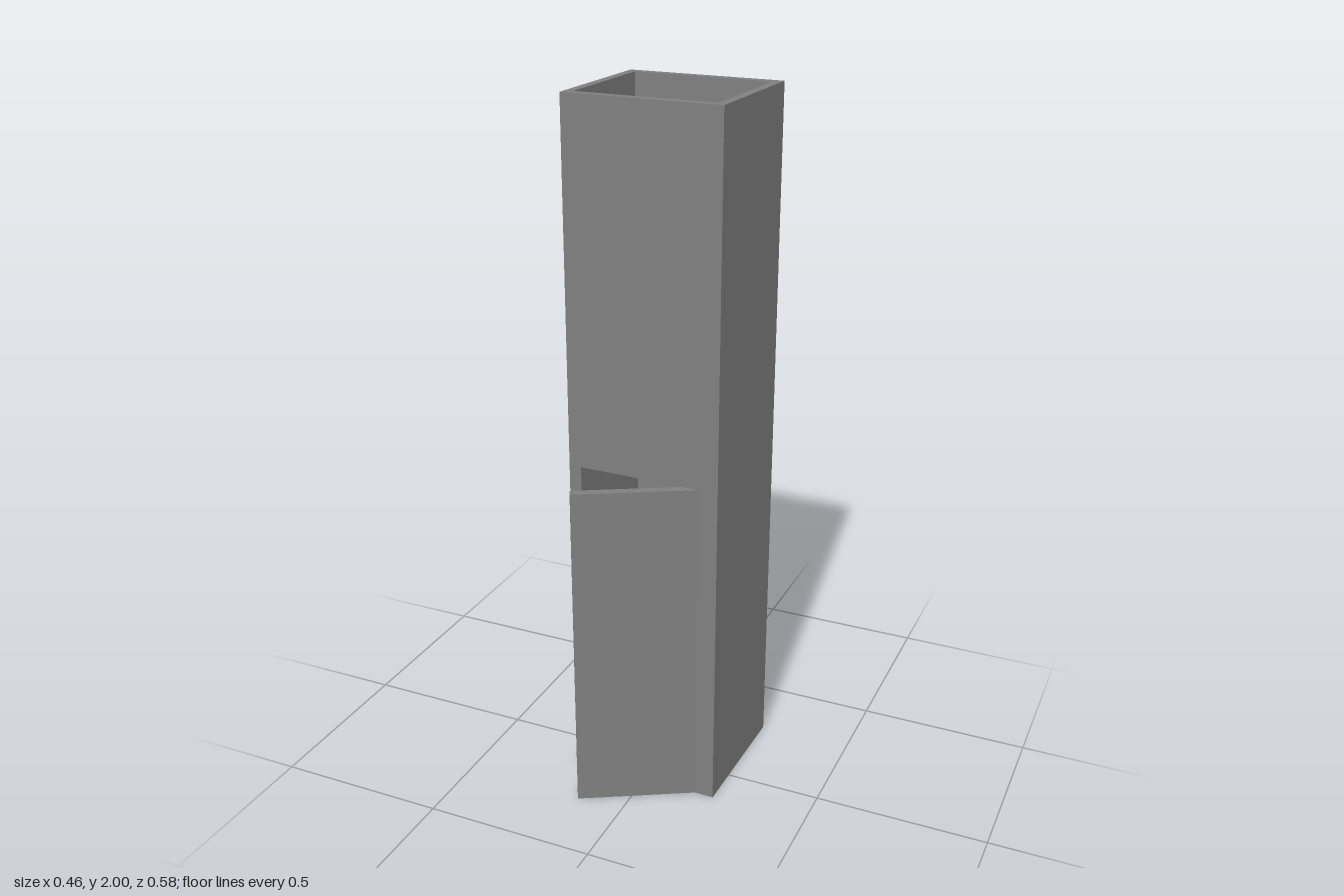
import * as THREE from 'three';

const H = 2, HX = 0.224, HZ = 0.201, T = 0.025; // height, half width, half depth, wall thickness
const DOOR_H = 0.98, DOOR_L = -0.188, DOOR_R = 0.167;

const polygon = (pts) => new THREE.Shape(pts.map(([x, y]) => new THREE.Vector2(x, y)));
const extrude = (pts, depth) => new THREE.ExtrudeGeometry(polygon(pts), { depth, bevelEnabled: false });

export function createModel() {
  const model = new THREE.Group();
  model.name = 'hollowTower';
  const grey = new THREE.MeshStandardMaterial({ color: 0x808080 });
  grey.name = 'plain grey';

  const add = (parent, name, geometry) => {
    const mesh = new THREE.Mesh(geometry, grey);
    mesh.name = name;
    parent.add(mesh);
    return mesh;
  };

  // Square shaft, turned very slightly about its axis
  const shaft = new THREE.Group();
  shaft.name = 'shaft';
  shaft.position.z = -0.084;
  shaft.rotation.y = -0.0223;
  model.add(shaft);

  // Side and back walls as one U-shaped plan, open at top and bottom
  const ix = HX - T, front = -HZ + T;
  const walls = extrude([
    [-HX, -HZ], [-ix, -HZ], [-ix, HZ - T], [ix, HZ - T],
    [ix, -HZ], [HX, -HZ], [HX, HZ], [-HX, HZ],
  ], H);
  walls.rotateX(-Math.PI / 2);
  add(shaft, 'sideAndBackWalls', walls);

  // Front wall with the doorway cut up from the ground
  const frontWall = extrude([
    [-ix, 0], [DOOR_L, 0], [DOOR_L, DOOR_H], [DOOR_R, DOOR_H],
    [DOOR_R, 0], [ix, 0], [ix, H], [-ix, H],
  ], T);
  frontWall.translate(0, 0, -front);
  add(shaft, 'frontWall', frontWall);

  // Door leaf standing ajar, hinged at the +x jamb
  const leaf = DOOR_R - DOOR_L;
  const doorGeometry = new THREE.BoxGeometry(leaf, DOOR_H, T);
  doorGeometry.translate(leaf / 2, DOOR_H / 2, 0);
  const door = add(model, 'door', doorGeometry);
  door.position.set(-0.144, 0, 0.276);
  door.rotation.y = 0.504;

  return model;
}
